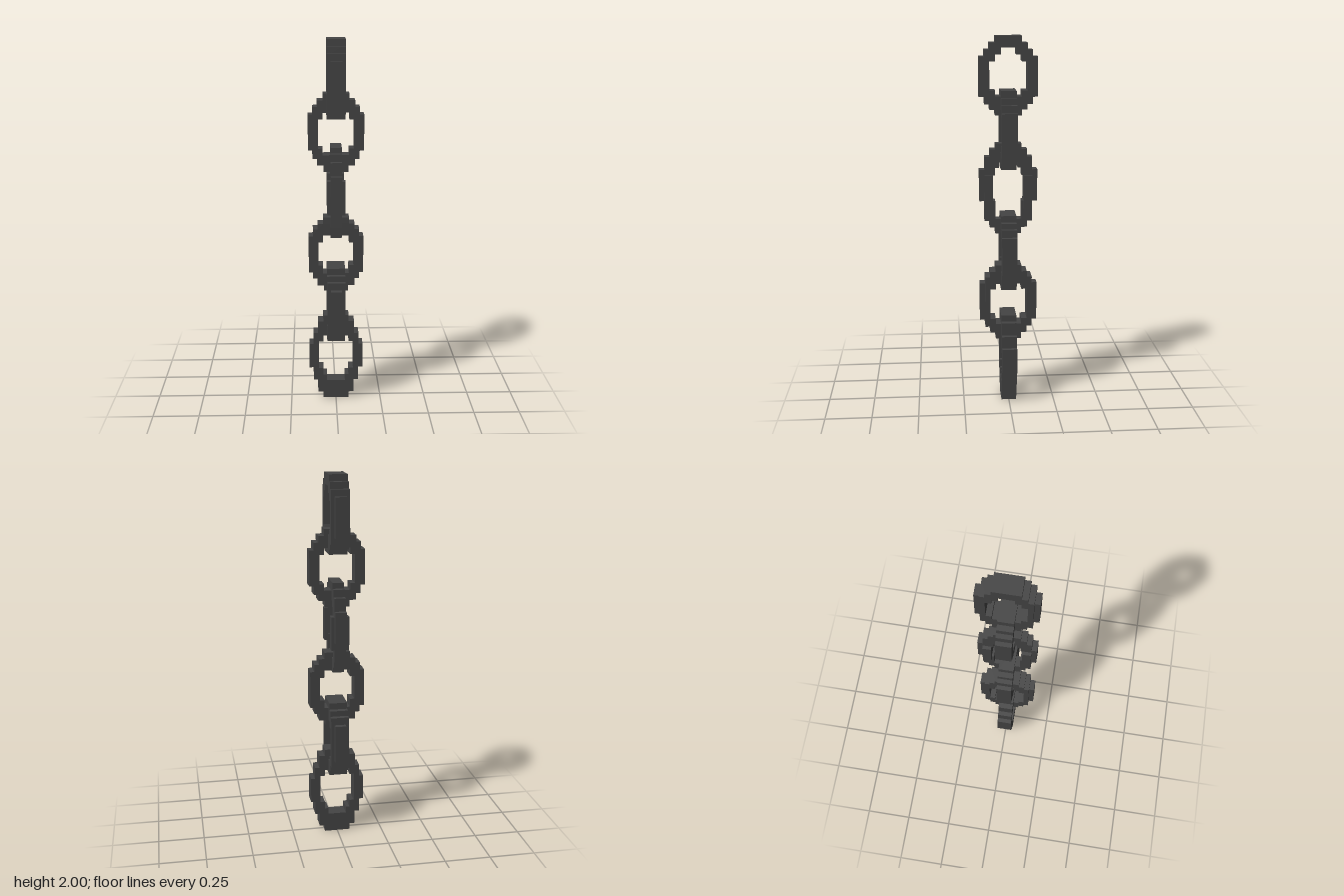
import * as THREE from 'three';

const material = new THREE.MeshStandardMaterial({ color: 0x444444, flatShading: true });

// Stepped outline: base height, then [top of row, half width] going up
function steppedPoints(base, rows, limit = 1) {
  const right = [];
  let y = base;
  for (const [top, half] of rows) {
    const w = Math.min(half, limit);
    right.push(new THREE.Vector2(w, y), new THREE.Vector2(w, top));
    y = top;
  }
  const left = right.map((p) => new THREE.Vector2(-p.x, p.y)).reverse();
  return [...right, ...left];
}

// Blocky ring extruded evenly to both sides of its plane
function ringGeometry({ base, outer, holeBase, hole }, halfDepth, limit) {
  const shape = new THREE.Shape(steppedPoints(base, outer, limit));
  shape.holes.push(new THREE.Path(steppedPoints(holeBase, hole)));
  const geometry = new THREE.ExtrudeGeometry(shape, { depth: halfDepth * 2, bevelEnabled: false });
  return geometry.translate(0, 0, -halfDepth);
}

// Links from bottom to top, alternately lying across x and across z
const links = [
  { base: 0, outer: [[0.035, 0.07], [0.11, 0.1], [0.185, 0.125], [0.325, 0.148], [0.39, 0.125], [0.46, 0.1], [0.495, 0.07]],
    holeBase: 0.105, hole: [[0.14, 0.05], [0.18, 0.07], [0.34, 0.095], [0.375, 0.07], [0.4, 0.05]] },
  { base: 0.355, outer: [[0.39, 0.07], [0.425, 0.1], [0.46, 0.127], [0.67, 0.155], [0.71, 0.127], [0.74, 0.1], [0.775, 0.07]],
    holeBase: 0.44, hole: [[0.47, 0.07], [0.64, 0.1], [0.67, 0.07]] },
  { base: 0.64, outer: [[0.67, 0.065], [0.71, 0.1], [0.745, 0.125], [0.95, 0.148], [0.99, 0.125], [1.02, 0.1], [1.055, 0.07]],
    holeBase: 0.74, hole: [[0.785, 0.07], [0.915, 0.095], [0.955, 0.07]] },
  { base: 0.95, outer: [[0.985, 0.07], [1.02, 0.1], [1.13, 0.127], [1.3, 0.155], [1.37, 0.127], [1.41, 0.1], [1.44, 0.07]],
    holeBase: 1.03, hole: [[1.13, 0.07], [1.27, 0.1], [1.31, 0.07], [1.34, 0.05]], slim: true },
  { base: 1.305, outer: [[1.34, 0.065], [1.375, 0.1], [1.42, 0.125], [1.61, 0.148], [1.65, 0.125], [1.685, 0.1], [1.72, 0.07]],
    holeBase: 1.395, hole: [[1.43, 0.07], [1.585, 0.095], [1.62, 0.07]] },
  { base: 1.59, outer: [[1.62, 0.07], [1.65, 0.1], [1.685, 0.127], [1.895, 0.155], [1.93, 0.127], [1.965, 0.1], [2, 0.07]],
    holeBase: 1.69, hole: [[1.72, 0.07], [1.87, 0.1], [1.905, 0.07], [1.94, 0.04]] },
];

export function createModel() {
  const chain = new THREE.Group();
  chain.name = 'chain';

  links.forEach((link, i) => {
    const group = new THREE.Group();
    group.name = `chainLink${i + 1}`;
    const add = (geometry, name) => {
      const mesh = new THREE.Mesh(geometry, material);
      mesh.name = name;
      group.add(mesh);
      return mesh;
    };

    if (i % 2 === 0) {
      add(ringGeometry(link, 0.041), 'linkRing');
    } else {
      // Narrow ring carrying the outermost layer
      add(ringGeometry(link, 0.03), 'linkRidge');
      if (link.slim) {
        // Thickened side bars on the thin link
        for (const side of [-1, 1]) {
          add(new THREE.BoxGeometry(0.045, 0.18, 0.096), 'sideBar').position.set(side * 0.1045, 1.18, 0);
        }
      } else {
        add(ringGeometry(link, 0.049, 0.127), 'linkRing');
      }
      group.rotation.y = Math.PI / 2;
    }
    chain.add(group);
  });

  return chain;
}
